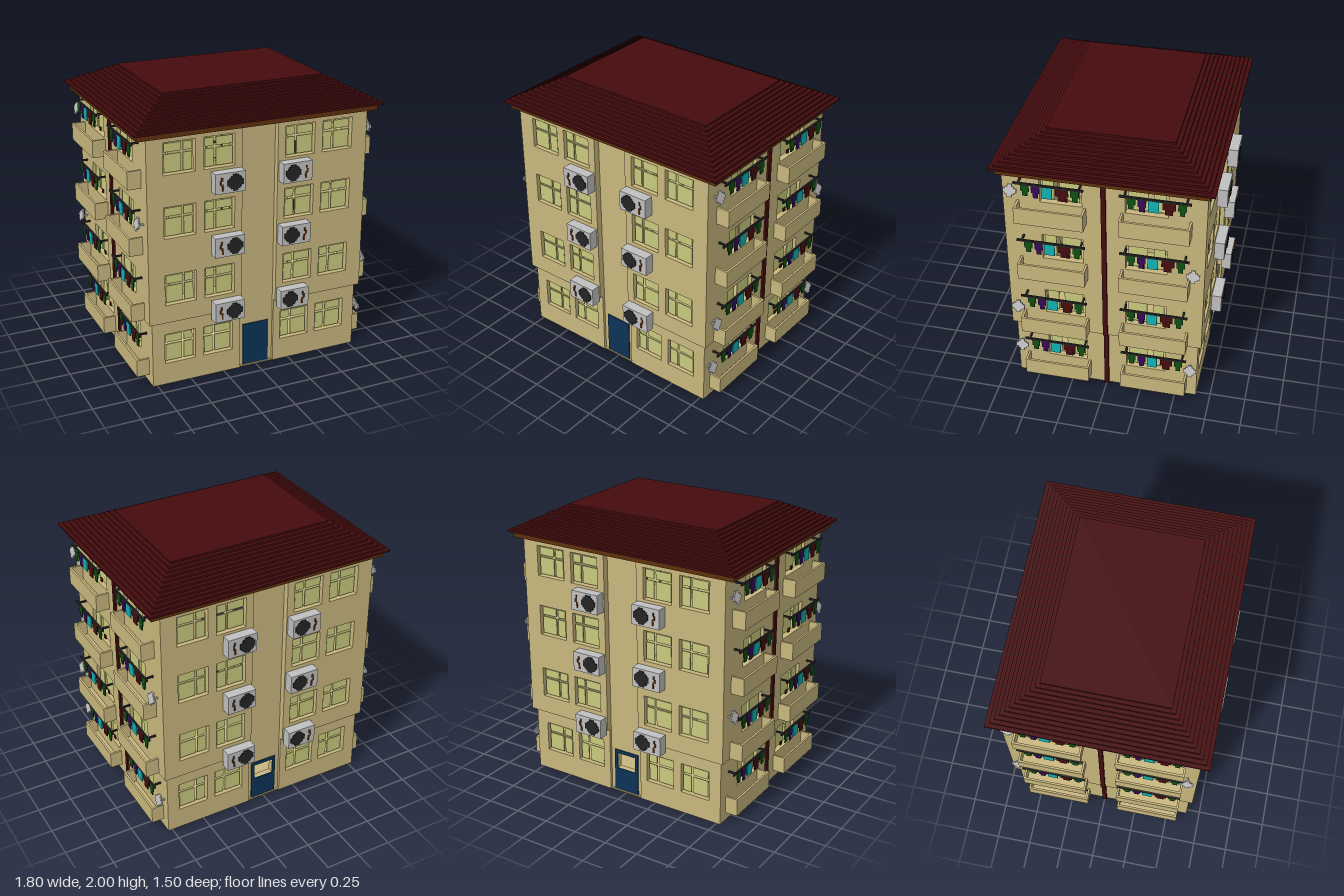
import * as THREE from 'three';

const mat = (name, color) => {
  const m = new THREE.MeshStandardMaterial({ color });
  m.name = name;
  return m;
};

export function createModel() {
  const M = {
    wall: mat('sand plaster', 0xc9b77e),
    glass: mat('window pane', 0xc9ca7e),
    roof: mat('dark red', 0x450c0e),
    eave: mat('brown', 0x5e300c),
    metal: mat('light grey', 0xc0c0c0),
    dark: mat('charcoal', 0x242424),
    door: mat('navy', 0x0d3358),
    green: mat('green cloth', 0x0e5012),
    purple: mat('purple cloth', 0x350a5a),
    cyan: mat('cyan cloth', 0x10b2b6),
  };
  const model = new THREE.Group();
  model.name = 'apartmentBlock';

  const group = (name, parent, x = 0, y = 0, z = 0) => {
    const g = new THREE.Group();
    g.name = name;
    g.position.set(x, y, z);
    parent.add(g);
    return g;
  };
  // box centred on x, y, z
  const box = (name, parent, m, w, h, d, x, y, z) => {
    const b = new THREE.Mesh(new THREE.BoxGeometry(w, h, d), m);
    b.name = name;
    b.position.set(x, y, z);
    parent.add(b);
    return b;
  };
  const rect = (P, x0, x1, y0, y1) => {
    const p = new P();
    p.moveTo(x0, y0);
    p.lineTo(x1, y0);
    p.lineTo(x1, y1);
    p.lineTo(x0, y1);
    p.closePath();
    return p;
  };
  // upright slab with rectangular holes, outer face at z = face
  const slab = (name, parent, m, r, holes, face, depth) => {
    const s = rect(THREE.Shape, ...r);
    holes.forEach(h => s.holes.push(rect(THREE.Path, ...h)));
    const g = new THREE.ExtrudeGeometry(s, { depth, bevelEnabled: false });
    const mesh = new THREE.Mesh(g, m);
    mesh.name = name;
    mesh.position.z = face - depth;
    parent.add(mesh);
    return mesh;
  };

  const SPLIT = 0.48, TOP = 1.79, T = 0.045;
  const rowsFront = [0.16, 0.61, 1.09, 1.53];

  // window: four panes separated by open gaps
  const windowPanes = (parent, x0, y0, z, narrowLeft) => {
    const w = group('window', parent, x0, y0, z);
    const cols = narrowLeft ? [[0.012, 0.075], [0.09, 0.208]] : [[0.012, 0.13], [0.145, 0.208]];
    for (const [a, b] of cols)
      for (const [c, d] of [[0.012, 0.135], [0.15, 0.208]])
        box('windowPane', w, M.glass, b - a, d - c, 0.008, (a + b) / 2, (c + d) / 2, 0);
  };

  // outdoor cooling unit with a stepped round fan
  const coolingUnit = (parent, s, y) => {
    const a = group('coolingUnit', parent, s * 0.2475, y, 0.71);
    box('unitCase', a, M.metal, 0.215, 0.14, 0.07, 0, 0, 0);
    for (const [w, h] of [[0.115, 0.04], [0.04, 0.115], [0.088, 0.068], [0.068, 0.088]])
      box('fan', a, M.dark, w, h, 0.006, -s * 0.035, 0, 0.037);
    for (const [dx, dy, h] of [[0, 0.03, 0.024], [0.008, 0.006, 0.028], [-0.002, -0.012, 0.014], [-0.005, -0.034, 0.03]])
      box('unitPipe', a, M.eave, 0.012, h, 0.006, s * (0.062 + dx), dy, 0.037);
  };

  // front and back facades
  const facade = (name, isBack) => {
    const f = group(name, model);
    if (isBack) f.rotation.y = Math.PI;
    const spans = [[0.185, 0.405], [0.465, 0.69]];
    for (const s of [-1, 1]) {
      const edge = (a, b) => (s > 0 ? [a, b] : [-b, -a]);
      const holes = rows => rows.flatMap(y => spans.map(([a, b]) => [...edge(a, b), y, y + 0.22]));
      slab('lowerWall', f, M.wall, [...edge(0.13, 0.78), 0, SPLIT], holes(rowsFront.slice(0, 1)), 0.65, T);
      slab('upperWall', f, M.wall, [...edge(0.13, 0.805), SPLIT, TOP], holes(rowsFront.slice(1)), 0.675, T);
      rowsFront.forEach((y, i) => spans.forEach(([a, b]) =>
        windowPanes(f, edge(a, b)[0], y, (i ? 0.675 : 0.65) - 0.02, s > 0 || a < 0.4)));
      [0.51, 0.99, 1.44].forEach(y => coolingUnit(f, s, y));
    }
    // recessed stair column; the back door has an open upper panel
    const opening = isBack ? [[-0.075, 0.075, 0.18, 0.3]] : [];
    slab('stairColumn', f, M.wall, [-0.16, 0.16, 0, TOP], opening, 0.63, 0.04);
    slab('door', f, M.door, [-0.098, 0.098, 0, 0.325], opening, 0.638, 0.008);
  };
  facade('frontFacade', false);
  facade('backFacade', true);

  // clothes: offset along the line, width, drop, cloth, tapered
  const clothes = [
    [-0.155, 0.055, 0.09, M.green, true], [-0.085, 0.055, 0.1, M.purple, true],
    [-0.01, 0.07, 0.095, M.cyan, false], [0.09, 0.085, 0.1, M.roof, true],
    [0.175, 0.055, 0.095, M.green, true],
  ];
  const clothesLine = (parent, u, y, face) => {
    const c = group('clothesLine', parent, u, y, face + 0.058);
    box('linePole', c, M.dark, 0.464, 0.015, 0.012, 0, 0, 0);
    for (const s of [-1, 1]) box('lineBracket', c, M.dark, 0.012, 0.012, 0.058, s * 0.2, 0, -0.029);
    for (const [o, w, h, m, taper] of clothes) {
      const t = taper ? h * 0.62 : h;
      box('laundry', c, m, w, t, 0.008, o, -t / 2, 0);
      if (taper) box('laundryHem', c, m, w * 0.6, h - t, 0.008, o, -(h + t) / 2, 0);
    }
  };

  // open balcony trough
  const balcony = (parent, u, y, face, out) => {
    const b = group('balcony', parent, u, y, face);
    box('balconyFloor', b, M.wall, 0.464, 0.015, out, 0, 0.0075, out / 2);
    box('balconyFront', b, M.wall, 0.464, 0.125, 0.015, 0, 0.0625, out - 0.0075);
    for (const s of [-1, 1]) box('balconySide', b, M.wall, 0.015, 0.125, out, s * 0.2245, 0.0625, out / 2);
  };

  // stepped round dish on a short arm
  const dish = (parent, u, y, face) => {
    const d = group('satelliteDish', parent, u, y, face);
    box('dishArm', d, M.metal, 0.012, 0.012, 0.05, 0, -0.01, 0.025);
    const plate = group('dishPlate', d, 0, 0, 0.045);
    plate.rotation.x = -0.25;
    for (const [w, h] of [[0.09, 0.03], [0.03, 0.09], [0.06, 0.055]])
      box('dishFace', plate, M.metal, w, h, 0.012, 0, 0, 0);
  };

  // balcony sides
  const rowsSide = [[0.06, 0.365], [0.485, 0.785], [0.965, 1.27], [1.43, 1.73]];
  const side = (name, angle, dishes) => {
    const f = group(name, model);
    f.rotation.y = angle;
    const holeAt = (s, y) => [...(s > 0 ? [0.143, 0.424] : [-0.424, -0.143]), y + 0.13, y + 0.328];
    const holes = rows => rows.flatMap(([y]) => [-1, 1].map(s => holeAt(s, y)));
    slab('lowerSideWall', f, M.wall, [-0.605, 0.605, 0, SPLIT], holes(rowsSide.slice(0, 1)), 0.78, T);
    slab('upperSideWall', f, M.wall, [-0.63, 0.63, SPLIT, TOP], holes(rowsSide.slice(1)), 0.805, T);
    rowsSide.forEach(([y, line], i) => {
      const face = i ? 0.805 : 0.78;
      for (const s of [-1, 1]) {
        balcony(f, s * 0.3475, y, face, i ? 0.095 : 0.09);
        clothesLine(f, s * 0.3475, line, face);
        for (const [a, b] of [[0.16, 0.29], [0.33, 0.408]])
          box('balconyPane', f, M.glass, b - a, 0.16, 0.008, s * (a + b) / 2, y + 0.235, face - 0.02);
        box('balconyHandle', f, M.roof, 0.027, 0.027, 0.008, s * 0.255, y + 0.16, face - 0.013);
      }
    });
    // drain pipe follows the step in the wall
    box('drainPipeLower', f, M.roof, 0.032, SPLIT, 0.015, 0, SPLIT / 2, 0.7875);
    box('drainPipeUpper', f, M.roof, 0.032, TOP - SPLIT, 0.015, 0, (TOP + SPLIT) / 2, 0.8125);
    dishes.forEach(([u, y]) => dish(f, u, y, y < SPLIT ? 0.78 : 0.805));
  };
  side('leftSide', Math.PI / 2, [[-0.61, 1.655], [0.605, 1.145], [-0.61, 0.67], [-0.61, 0.285], [0.605, 0.27]]);
  side('rightSide', -Math.PI / 2, [[-0.61, 1.655], [0.605, 1.2], [-0.61, 0.82]]);

  // ground floor slab
  box('floor', model, M.wall, 1.55, 0.01, 1.29, 0, 0.005, 0);

  // eave ring under the roof
  for (const s of [-1, 1]) {
    box('eave', model, M.eave, 1.746, 0.05, 0.07, 0, 1.808, s * 0.66);
    box('eaveEnd', model, M.eave, 0.11, 0.05, 1.25, s * 0.818, 1.808, 0);
  }

  // stepped hip roof
  const STEPS = 12, rise = 0.175 / STEPS;
  for (let i = 0; i < STEPS; i++) {
    const inset = (0.305 * i) / (STEPS - 1);
    box('roofTier', model, M.roof, 2 * (0.9 - inset), rise, 2 * (0.73 - inset), 0, 1.825 + rise * (i + 0.5), 0);
  }
  return model;
}
